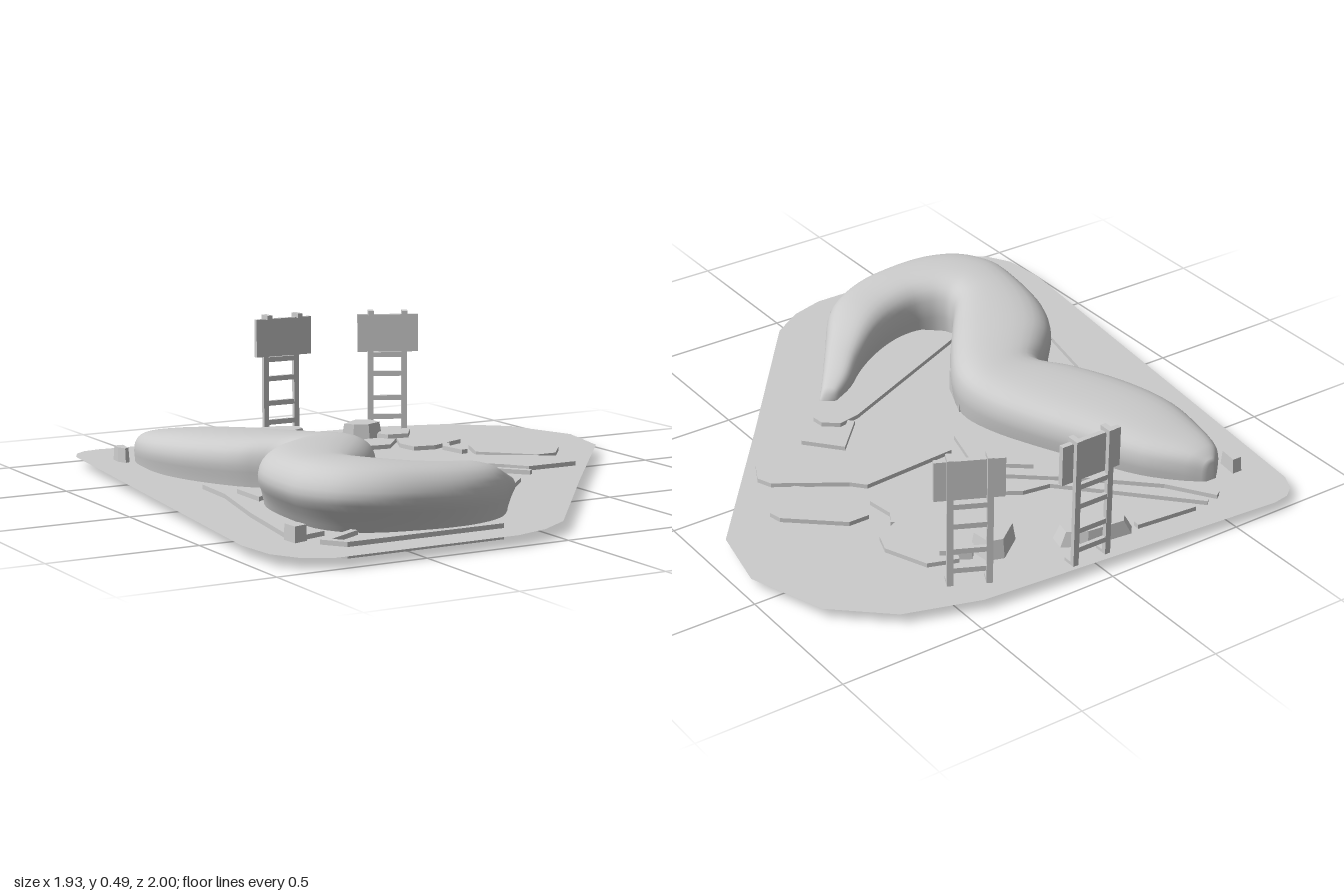
import * as THREE from 'three';

const smooth = new THREE.MeshStandardMaterial({ color: 0xcccccc, side: THREE.DoubleSide });
const flat = new THREE.MeshStandardMaterial({ color: 0xcccccc, flatShading: true, side: THREE.DoubleSide });

const add = (parent, name, geo, mat = flat) => {
  const m = new THREE.Mesh(geo, mat);
  m.name = name;
  parent.add(m);
  return m;
};

// Plan outline given as [x, z] pairs
const planShape = pts => new THREE.Shape(pts.map(([x, z]) => new THREE.Vector2(x, -z)));

// Upright prism on y = 0; the top ring can shrink towards its centre
function prism(pts, height, taper = 1) {
  const g = new THREE.ExtrudeGeometry(planShape(pts), { depth: height, bevelEnabled: false }).rotateX(-Math.PI / 2);
  const cx = pts.reduce((s, p) => s + p[0], 0) / pts.length;
  const cz = pts.reduce((s, p) => s + p[1], 0) / pts.length;
  const p = g.attributes.position;
  for (let i = 0; i < p.count; i++) {
    if (p.getY(i) < height / 2) continue;
    p.setX(i, cx + (p.getX(i) - cx) * taper);
    p.setZ(i, cz + (p.getZ(i) - cz) * taper);
  }
  g.computeVertexNormals();
  return g;
}

// Narrow band of constant width along a plan polyline
function strip(pts, width, height) {
  const v = pts.map(p => new THREE.Vector2(...p));
  const left = [], right = [];
  v.forEach((p, i) => {
    const a = p.clone().sub(v[Math.max(i - 1, 0)]).normalize();
    const b = v[Math.min(i + 1, v.length - 1)].clone().sub(p).normalize();
    const t = a.clone().add(b).normalize();
    const ref = a.lengthSq() ? a : b;
    const k = width / 2 / Math.max(0.5, t.dot(ref));
    left.push([p.x - t.y * k, p.y + t.x * k]);
    right.unshift([p.x + t.y * k, p.y - t.x * k]);
  });
  return prism([...left, ...right], height);
}

// Winding hill: left edge x z, right edge x z, crest height
const hillRows = [
  [-.60, -.775, -.56, -.775, .10], [-.65, -.72, -.50, -.73, .135], [-.68, -.58, -.40, -.62, .16],
  [-.685, -.45, -.30, -.43, .18], [-.65, -.30, -.22, -.27, .19], [-.56, -.12, -.16, -.12, .20],
  [-.46, 0, -.14, .005, .21], [-.53, .07, -.165, .11, .22], [-.62, .16, -.25, .25, .23],
  [-.69, .30, -.34, .37, .235], [-.72, .48, -.42, .48, .24], [-.72, .62, -.43, .52, .245],
  [-.66, .74, -.41, .55, .245], [-.55, .81, -.38, .57, .24], [-.40, .835, -.33, .585, .23],
  [-.22, .82, -.24, .575, .215], [-.07, .745, -.12, .525, .195], [.05, .59, -.01, .455, .15],
  [.13, .48, .08, .38, .115], [.22, .36, .17, .33, .075],
];

function hillGeometry() {
  const curve = k => new THREE.CatmullRomCurve3(hillRows.map(r => new THREE.Vector3(r[k], r[4], r[k + 1])));
  const L = curve(0), R = curve(2), rows = 76, cols = 28, pos = [], idx = [];
  for (let i = 0; i <= rows; i++) {
    const t = i / rows, l = L.getPoint(t), r = R.getPoint(t);
    // the outer bend leans out over its foot
    const lean = 0.04 + 0.24 * THREE.MathUtils.smoothstep(t, .4, .55) * (1 - THREE.MathUtils.smoothstep(t, .7, .85));
    const section = new THREE.CatmullRomCurve3([
      [lean, 0], [lean * .5, .3], [0, .58], [.05, .8], [.2, .95], [.5, 1],
      [.8, .95], [.95, .8], [1, .55], [.99, .3], [.96, 0],
    ].map(([u, v]) => new THREE.Vector3(u, v, 0)));
    for (let j = 0; j <= cols; j++) {
      const s = section.getPoint(j / cols);
      pos.push(l.x + (r.x - l.x) * s.x, l.y * s.y, l.z + (r.z - l.z) * s.x);
    }
  }
  const n = cols + 1;
  for (let i = 0; i < rows; i++) for (let j = 0; j < cols; j++) {
    const a = i * n + j;
    idx.push(a, a + n, a + 1, a + 1, a + n, a + n + 1);
  }
  // end caps
  for (let j = 1; j < cols; j++) idx.push(0, j, j + 1, rows * n, rows * n + j + 1, rows * n + j);
  const g = new THREE.BufferGeometry();
  g.setAttribute('position', new THREE.Float32BufferAttribute(pos, 3));
  g.setIndex(idx);
  g.computeVertexNormals();
  return g;
}

// Billboard on a ladder-like frame, facing +z
function billboard() {
  const g = new THREE.Group();
  g.name = 'billboard';
  const box = (name, w, h, d, x, y, z) => add(g, name, new THREE.BoxGeometry(w, h, d).translate(x, y, z));
  for (const x of [-.062, .062]) {
    box('post', .02, .455, .016, x, .2575, -.012);
    box('postCap', .02, .016, .045, x, .477, .004);
    box('postFoot', .02, .016, .045, x, .038, .004);
  }
  for (const y of [.09, .16, .25, .32]) box('rung', .11, .018, .014, 0, y, -.012);
  box('panel', .222, .137, .018, 0, .403, .008);
  return g;
}

export function createModel() {
  const model = new THREE.Group();
  model.name = 'landscapeSite';

  // Thin ground sheet
  add(model, 'ground', new THREE.ShapeGeometry(planShape([
    [-.79, -.90], [-.76, -.96], [-.72, -.99], [-.66, -1], [.435, -.92], [.69, -.84], [.87, -.68], [.963, -.42],
    [.915, -.185], [.49, .34], [.055, .89], [-.06, .965], [-.18, 1], [-.815, 1], [-.90, .945], [-.95, .86], [-.965, .71],
  ])).rotateX(-Math.PI / 2).translate(0, .035, 0));

  add(model, 'windingHill', hillGeometry(), smooth);

  // Entrance tucked under the inner flank of the hill
  const entrance = add(model, 'entrance', new THREE.BoxGeometry(.12, .11, .16));
  entrance.position.set(-.235, .055, .1);
  entrance.rotation.y = -.4;

  // Low paved islands
  const islands = {
    court: [[-.44, .48], [.16, .21], [.24, .195], [.29, .235], [.295, .28], [.20, .38], [.05, .52], [-.34, .6], [-.42, .53]],
    triangleIsland: [[-.14, -.39], [0, -.28], [.01, -.235], [-.03, -.09], [-.065, -.09], [-.19, -.31]],
    centralIsland: [[-.02, -.09], [.03, -.16], [.38, -.185], [.42, -.14], [.635, 0], [.655, .05], [.62, .12], [.43, .12],
      [.38, .05], [.29, -.05], [.24, -.05], [.06, .09], [.03, .02]],
    eastIsland: [[.425, -.21], [.475, -.34], [.55, -.34], [.72, -.195], [.73, -.15], [.655, -.055], [.58, -.055]],
    northEastIsland: [[.28, -.49], [.29, -.41], [.37, -.395], [.515, -.46], [.54, -.53], [.48, -.675], [.38, -.71], [.33, -.6]],
    smallIsland: [[.15, -.53], [.17, -.62], [.24, -.635], [.34, -.61], [.29, -.55], [.24, -.49], [.16, -.50]],
    westIsland: [[-.61, -.015], [-.46, .03], [-.61, .14]],
  };
  for (const [name, pts] of Object.entries(islands)) add(model, name, prism(pts, .05));

  // Raised mounds, planters and rocks
  add(model, 'wedgeMound', prism([[-.21, -.855], [-.18, -.89], [0, -.87], [.085, -.82], [.07, -.755], [-.035, -.70]], .085, .72));
  add(model, 'eastMound', prism([[.15, -.70], [.25, -.775], [.31, -.755], [.32, -.67], [.24, -.63], [.18, -.66]], .10, .78));
  add(model, 'planter', prism([[.335, -.72], [.425, -.66], [.37, -.58], [.29, -.595], [.27, -.64]], .065, .95));
  add(model, 'rock', prism([[-.70, -.79], [-.66, -.79], [-.67, -.71], [-.69, -.70], [-.705, -.74]], .085, .8));
  add(model, 'cornerBlock', prism([[-.82, .70], [-.77, .70], [-.765, .75], [-.815, .765]], .085, .9));

  // Narrow paths and kerbs
  const paths = [
    [[-.66, -.14], [-.67, .04], [-.74, .36], [-.80, .73], [-.69, .70]],
    [[-.16, .875], [-.70, .875], [-.74, .82], [-.60, .74]],
    [[-.53, -.87], [-.43, -.72], [-.26, -.56], [-.01, -.355]],
    [[-.48, -.88], [-.28, -.67], [-.12, -.505], [-.02, -.49], [.12, -.40]],
    [[-.42, -.88], [-.20, -.86]],
    [[.43, -.42], [.40, -.37], [.415, -.27]],
    [[.20, .19], [.31, .075], [.40, .18]],
  ];
  for (const p of paths) add(model, 'path', strip(p, .025, .05));

  // Two billboards along the back edge
  const a = billboard(), b = billboard();
  a.position.set(.03, 0, -.91);
  b.position.set(.415, 0, -.81);
  b.rotation.y = -.45;
  model.add(a, b);
  return model;
}
